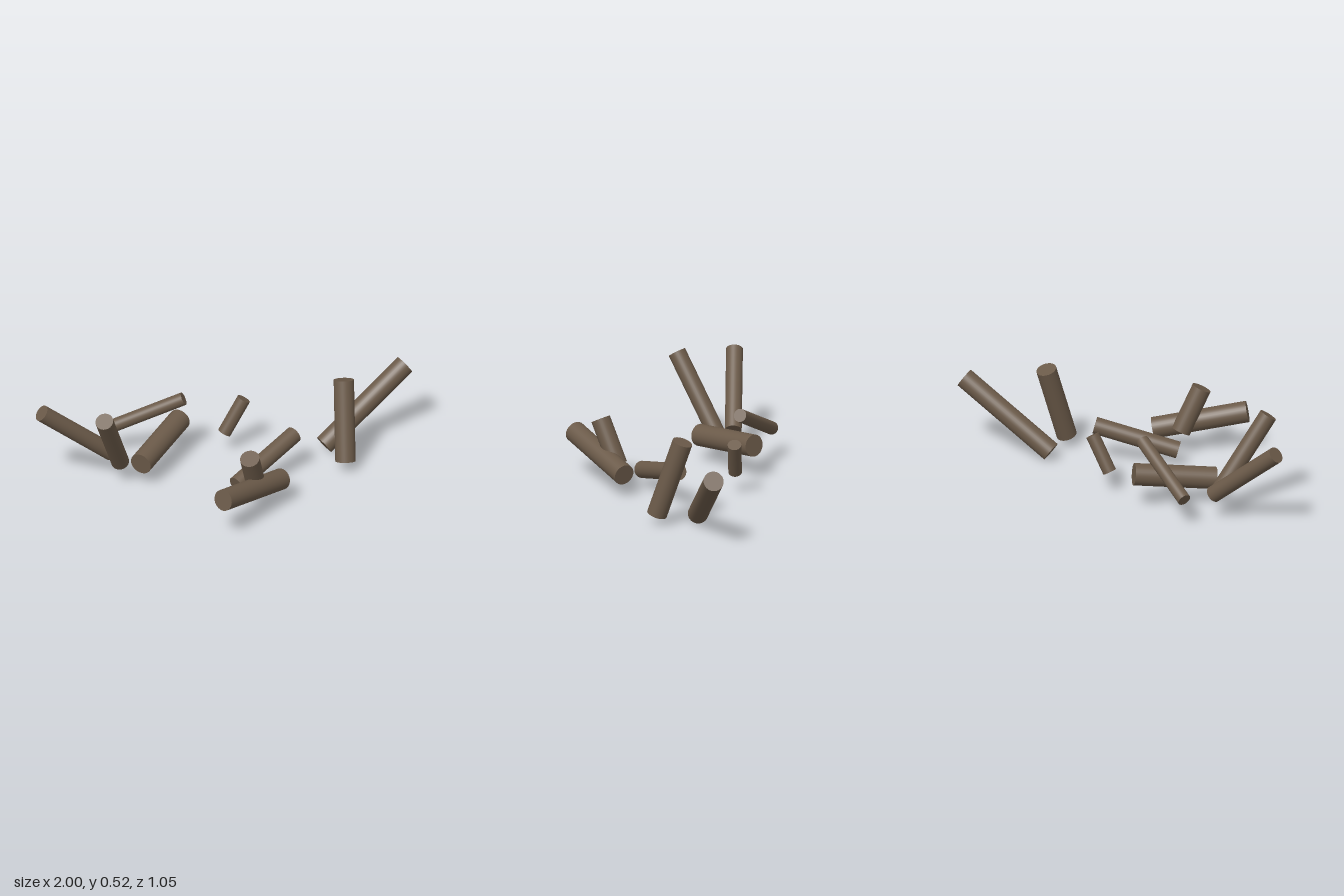
import * as THREE from 'three';

// Each log: upper/first end, second end, radius
const LOGS = [
  [[-0.973, 0.432, -0.27], [-0.594, 0.125, -0.295], 0.043],
  [[-0.72, 0.493, 0.003], [-0.575, 0.118, -0.207], 0.046],
  [[-0.194, 0.34, -0.362], [-0.559, 0.153, -0.495], 0.034],
  [[-0.487, 0.131, -0.133], [-0.193, 0.18, -0.434], 0.057],
  [[0.124, 0.288, -0.36], [0.02, 0.11, -0.355], 0.035],
  [[-0.057, 0.083, 0.126], [0.312, 0.2, -0.09], 0.044],
  [[-0.23, 0.218, 0.482], [0.16, 0.124, 0.2], 0.055],
  [[-0.047, 0.352, 0.337], [0.015, 0.13, 0.245], 0.05],
  [[0.588, 0.452, -0.133], [0.558, 0.053, 0], 0.052],
  [[0.967, 0.375, -0.323], [0.505, 0.043, -0.205], 0.052],
];

export function createModel() {
  const model = new THREE.Group();
  model.name = 'scatteredLogs';
  const bark = new THREE.MeshStandardMaterial({ color: 0x6b5a49 });
  bark.name = 'barkBrown';
  const up = new THREE.Vector3(0, 1, 0);

  // Straight cylinders stretched between their two end points
  LOGS.forEach(([from, to, radius], i) => {
    const a = new THREE.Vector3(...from);
    const b = new THREE.Vector3(...to);
    const axis = a.clone().sub(b);
    const log = new THREE.Mesh(new THREE.CylinderGeometry(radius, radius, axis.length(), 32), bark);
    log.name = `log${i + 1}`;
    log.position.copy(a).add(b).multiplyScalar(0.5);
    log.quaternion.setFromUnitVectors(up, axis.normalize());
    model.add(log);
  });
  return model;
}
